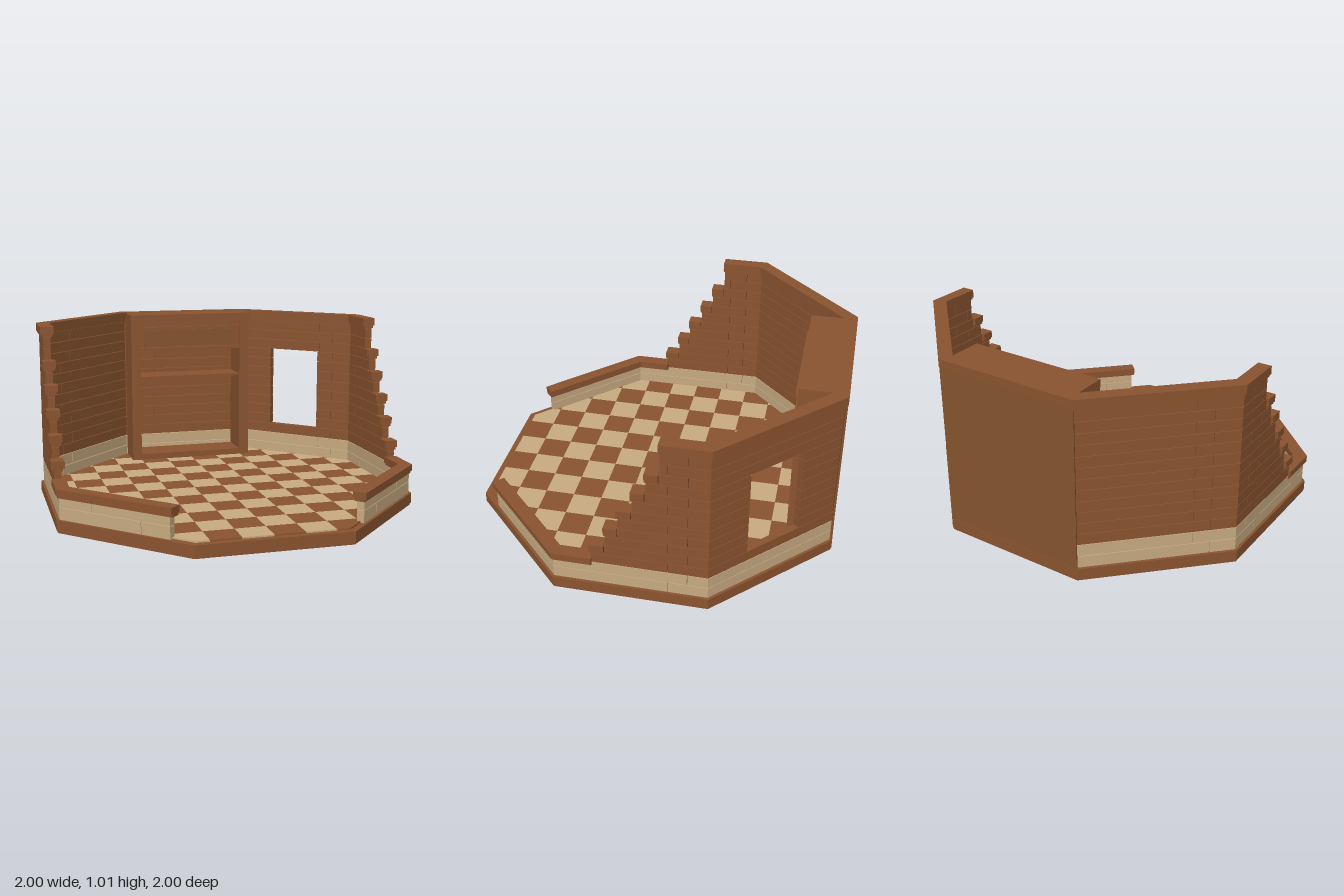
import * as THREE from 'three';
import { mergeGeometries } from 'three/addons/utils/BufferGeometryUtils.js';

const mat = (name, color) => new THREE.MeshStandardMaterial({ name, color });
const T = Math.tan(Math.PI / 8);

// vertical prism over a plan outline of [x, z] points
function prism(pts, y0, y1) {
  const shape = new THREE.Shape(pts.map(([x, z]) => new THREE.Vector2(x, -z)));
  const g = new THREE.ExtrudeGeometry(shape, { depth: y1 - y0, bevelEnabled: false });
  return g.rotateX(-Math.PI / 2).translate(0, y0, 0);
}

const octagon = (a) => Array.from({ length: 8 }, (_, i) => {
  const t = (i + 0.5) * Math.PI / 4, r = a / Math.cos(Math.PI / 8);
  return [Math.sin(t) * r, Math.cos(t) * r];
});

// piece of octagon side k, running s0..s1 along it, mitred at the corners; m mirrors x
function strip(k, s0, s1, aOut, aIn, y0, y1, m = 1) {
  const c = Math.cos(k * Math.PI / 4), n = Math.sin(k * Math.PI / 4);
  const at = (s, a) => {
    const q = THREE.MathUtils.clamp(s, -a * T, a * T);
    return [m * (n * a + c * q), c * a - n * q];
  };
  return prism([at(s0, aOut), at(s1, aOut), at(s1, aIn), at(s0, aIn)], y0, y1);
}

// cut a convex outline to the octagon of apothem a
function clip(pts, a) {
  for (let k = 0; k < 8; k++) {
    const n = Math.sin(k * Math.PI / 4), c = Math.cos(k * Math.PI / 4), out = [];
    pts.forEach((p, i) => {
      const q = pts[(i + 1) % pts.length];
      const dp = a - p[0] * n - p[1] * c, dq = a - q[0] * n - q[1] * c;
      if (dp >= 0) out.push(p);
      if (dp * dq < 0) {
        const t = dp / (dp - dq);
        out.push([p[0] + (q[0] - p[0]) * t, p[1] + (q[1] - p[1]) * t]);
      }
    });
    pts = out;
  }
  return pts;
}

export function createModel() {
  const model = new THREE.Group();
  model.name = 'octagonalRoom';
  const brown = mat('brown wood', 0x8b5430);
  const cream = mat('cream stone', 0xc8ab82);
  const panel = mat('panel wood', 0x85552f);
  const add = (name, geos, material) => {
    const mesh = new THREE.Mesh(mergeGeometries([geos].flat()), material);
    mesh.name = name;
    model.add(mesh);
  };
  const box = (x0, x1, y0, y1, z0, z1) =>
    new THREE.BoxGeometry(x1 - x0, y1 - y0, z1 - z0)
      .translate((x0 + x1) / 2, (y0 + y1) / 2, (z0 + z1) / 2);

  // base and chequered floor
  add('base', [prism(octagon(0.995), 0, 0.012), prism(octagon(1), 0.012, 0.07)], brown);
  const tiles = [[], []], cell = 0.164;
  for (let i = -6; i < 6; i++) for (let j = -6; j < 6; j++) {
    const x = i * cell, z = j * cell;
    const p = clip([[x, z], [x + cell, z], [x + cell, z + cell], [x, z + cell]], 0.965);
    if (p.length > 2) tiles[Math.abs(i + j) % 2].push(prism(p, 0.07, 0.078));
  }
  add('creamTiles', tiles[0], cream);
  add('brownTiles', tiles[1], brown);

  // brick courses: two cream ones below, twelve brown ones above
  const courses = [];
  for (let i = 0; i < 2; i++) courses.push([0.07 + i * 0.0675, 0.0675, false]);
  for (let i = 0; i < 12; i++) courses.push([0.205 + i * 0.0622, 0.0622, true]);
  const gap = 0.003, outer = 0.985, inner = 0.945;

  function wall(name, k, m, spans, joints) {
    const upper = [], lower = [];
    courses.forEach(([y, h, isBrown], row) => {
      const joint = joints[row % 2];
      for (const [a, b] of spans(y + h / 2)) {
        const parts = joint > a + 0.02 && joint < b - 0.02
          ? [[a, joint - gap / 2], [joint + gap / 2, b]] : [[a, b]];
        for (const [s0, s1] of parts)
          (isBrown ? upper : lower).push(strip(k, s0, s1, outer, inner, y, y + h - gap, m));
      }
    });
    if (upper.length) add(name + 'Bricks', upper, brown);
    add(name + 'Footing', lower, cream);
  }

  // coping stone with a narrower lip below it
  const cap = (k, s0, s1, top, m, h = 0.045) => [
    strip(k, s0, s1, 1, 0.927, top - h, top, m),
    strip(k, s0, s1, 0.992, 0.936, top - h - 0.014, top - h, m),
  ];

  // descending steps of the side walls: [front end z, top y]
  const steps = [[-0.155, 1.01], [-0.085, 0.828], [-0.015, 0.703],
    [0.06, 0.578], [0.13, 0.454], [0.21, 0.33]];

  for (const m of [1, -1]) {
    const side = m > 0 ? 'left' : 'right';

    // low front wall
    wall(side + 'Front', 1, m, (y) => (y < 0.2 ? [[-0.27, 1]] : []), [-0.1, 0.2]);
    add(side + 'FrontCoping', cap(1, -0.287, 1, 0.235, m, 0.035), brown);

    // stepped side wall
    wall(side + 'Side', 2, m, (y) => {
      if (y < 0.2) return [[-1, 1]];
      const end = Math.max(...steps.filter((s) => s[1] > y).map((s) => s[0]));
      return [[-end + 0.006, 1]];
    }, [0.2, 0.3]);
    const caps = [...cap(2, -1, -0.2, 0.235, m, 0.035), ...cap(2, 0.155, 1, 1.01, m)];
    for (let i = 1; i < steps.length; i++)
      caps.push(...cap(2, -steps[i][0], -steps[i - 1][0], steps[i][1], m, 0.04));
    add(side + 'SideCoping', caps, brown);

    // diagonal back wall, with a window opening on one side
    wall(side + 'Back', 3, m, (y) => (m > 0 && y > 0.267 && y < 0.765
      ? [[-1, -0.167], [0.167, 1]] : [[-1, 1]]), [-0.27, -0.18]);
    add(side + 'BackCoping', cap(3, -1, 1, 1.01, m), brown);
  }

  // back wall with its outer panel
  wall('back', 4, 1, () => [[-1, 1]], [0.2, -0.32]);
  add('backPanel', strip(4, -1, 1, 0.998, 0.987, 0.07, 0.965), panel);
  add('backCoping', cap(4, -1, 1, 1.01, 1), brown);

  // alcove cabinet: sides, floor, header and crown
  add('cabinetFrame', [
    box(-0.385, -0.328, 0.078, 0.965, -0.96, -0.745),
    box(0.322, 0.385, 0.078, 0.965, -0.96, -0.745),
    box(-0.328, 0.322, 0.078, 0.115, -0.96, -0.745),
    box(-0.328, 0.322, 0.78, 0.965, -0.96, -0.75),
    box(-0.387, 0.387, 0.965, 1.008, -0.985, -0.742),
  ], brown);
  add('cabinetShelf', box(-0.328, 0.322, 0.6, 0.614, -0.95, -0.76), brown);

  // header moulding: two rails with end blocks and a thin panel
  const moulding = [];
  for (const y of [0.795, 0.925]) {
    moulding.push(box(-0.335, 0.33, y - 0.006, y + 0.006, -0.75, -0.728));
    for (const x of [-0.335, 0.33])
      moulding.push(box(x - 0.01, x + 0.01, y - 0.011, y + 0.011, -0.75, -0.735));
  }
  add('headerRails', moulding, brown);
  add('headerPanel', box(-0.3, 0.295, 0.81, 0.91, -0.75, -0.742), panel);

  return model;
}
